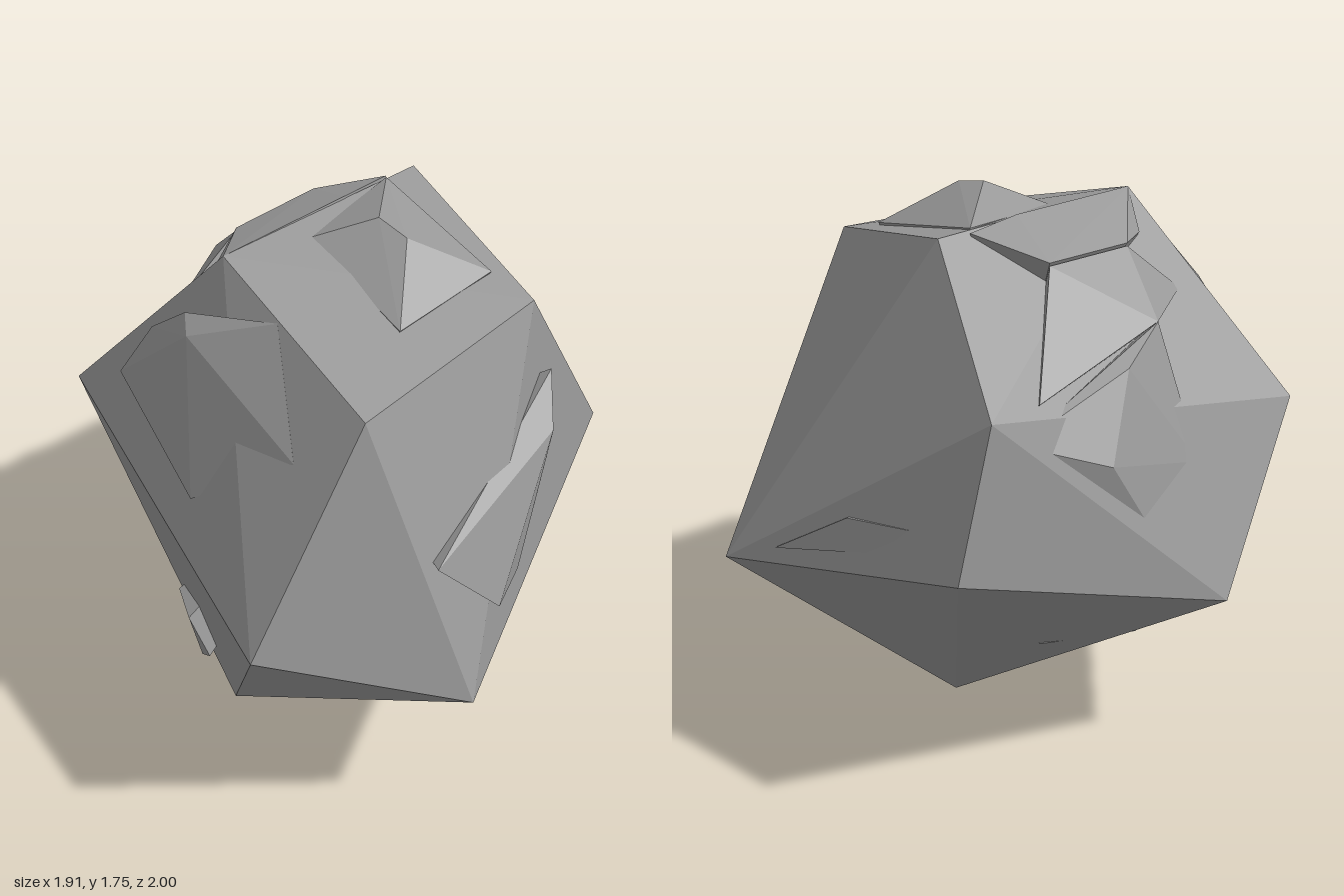
import * as THREE from 'three';
import { ConvexGeometry } from 'three/addons/geometries/ConvexGeometry.js';

export function createModel() {
  const rock = new THREE.Group();
  rock.name = 'rock';
  const stone = new THREE.MeshStandardMaterial({ color: 0x999999 });
  const middle = new THREE.Vector3(0, 0.85, 0);

  // A faceted solid wrapped around a few corner points
  const chunk = (name, points) => {
    const mesh = new THREE.Mesh(new ConvexGeometry(points), stone);
    mesh.name = name;
    rock.add(mesh);
  };
  const toPoints = corners => corners.map(c => new THREE.Vector3(...c));

  // A shallow outcrop: its corners, rooted by the same corners sunk towards the middle
  const outcrop = (name, corners) => {
    const outer = toPoints(corners);
    chunk(name, [...outer, ...outer.map(p => p.clone().lerp(middle, 0.25))]);
  };

  // Main boulder
  chunk('boulder', toPoints([
    [-0.06, 0, -0.33], [0.08, 0.14, 0.68], // underside
    [0.95, 0.55, 0.45], [0.52, 0.82, 1.0], [-0.78, 1.04, 0.57], // girdle
    [-0.96, 0.52, 0.02], [-0.70, 0.80, -0.93], [0.33, 0.60, -1.0],
    [-0.69, 1.26, -0.78], [-0.18, 1.67, -0.50], [0.55, 1.55, -0.26], // crown
    [0.58, 1.52, 0.56], [-0.18, 1.70, 0.40],
  ]));

  // Peak on the crown
  outcrop('topPeak', [
    [0.07, 1.75, -0.05], [0.20, 1.73, -0.04], [0.38, 1.59, -0.25],
    [0.39, 1.58, 0.20], [-0.10, 1.67, 0.10], [-0.18, 1.68, -0.36],
  ]);

  // Ledges down the upper right-hand shoulder
  outcrop('shoulderUpper', [
    [-0.42, 1.59, -0.25], [-0.42, 1.59, 0.12], [-0.18, 1.69, -0.15],
    [-0.20, 1.67, -0.38], [-0.32, 1.58, 0.30], [-0.18, 1.70, 0.40],
  ]);
  outcrop('shoulderMiddle', [
    [-0.42, 1.58, 0.12], [-0.64, 1.39, 0.02], [-0.42, 1.58, -0.25],
    [-0.69, 1.27, -0.58], [-0.45, 1.40, 0.36],
  ]);
  outcrop('shoulderLower', [
    [-0.64, 1.39, 0.02], [-0.71, 1.30, -0.20], [-0.81, 1.05, -0.38],
    [-0.84, 0.84, -0.25], [-0.70, 1.17, -0.68], [-0.80, 0.95, 0.05],
  ]);

  // Broken slab on the upper front
  outcrop('frontSlab', [
    [0.13, 1.62, 0.47], [-0.23, 1.53, 0.53], [-0.16, 1.50, 0.59],
    [-0.40, 1.40, 0.53], [-0.50, 1.21, 0.60], [0.02, 1.05, 0.77],
    [0.39, 1.33, 0.67],
  ]);

  // Bulge on the side
  outcrop('sideBulge', [
    [0.71, 1.15, -0.20], [0.59, 1.27, -0.33], [0.81, 1.04, 0.48],
    [0.87, 0.77, 0.24], [0.77, 0.73, 0.02], [0.55, 0.90, -0.42],
  ]);

  // Small chips low down and at the back
  outcrop('frontChip', [
    [0.00, 0.34, 0.75], [0.05, 0.37, 0.76], [-0.01, 0.53, 0.79], [-0.16, 0.51, 0.70],
  ]);
  outcrop('lowerSideChip', [
    [0.64, 0.33, 0.39], [0.66, 0.39, 0.47], [0.40, 0.245, 0.14], [0.36, 0.26, 0.47],
  ]);
  outcrop('lowerEdgeChip', [
    [-0.64, 0.325, -0.05], [-0.52, 0.31, 0.15], [-0.14, 0.20, 0.51], [-0.48, 0.33, -0.35],
  ]);
  outcrop('backChip', [
    [0.09, 0.70, -0.98], [-0.46, 0.90, -0.90], [-0.20, 0.87, -0.92], [-0.35, 0.80, -0.93],
  ]);

  return rock;
}
